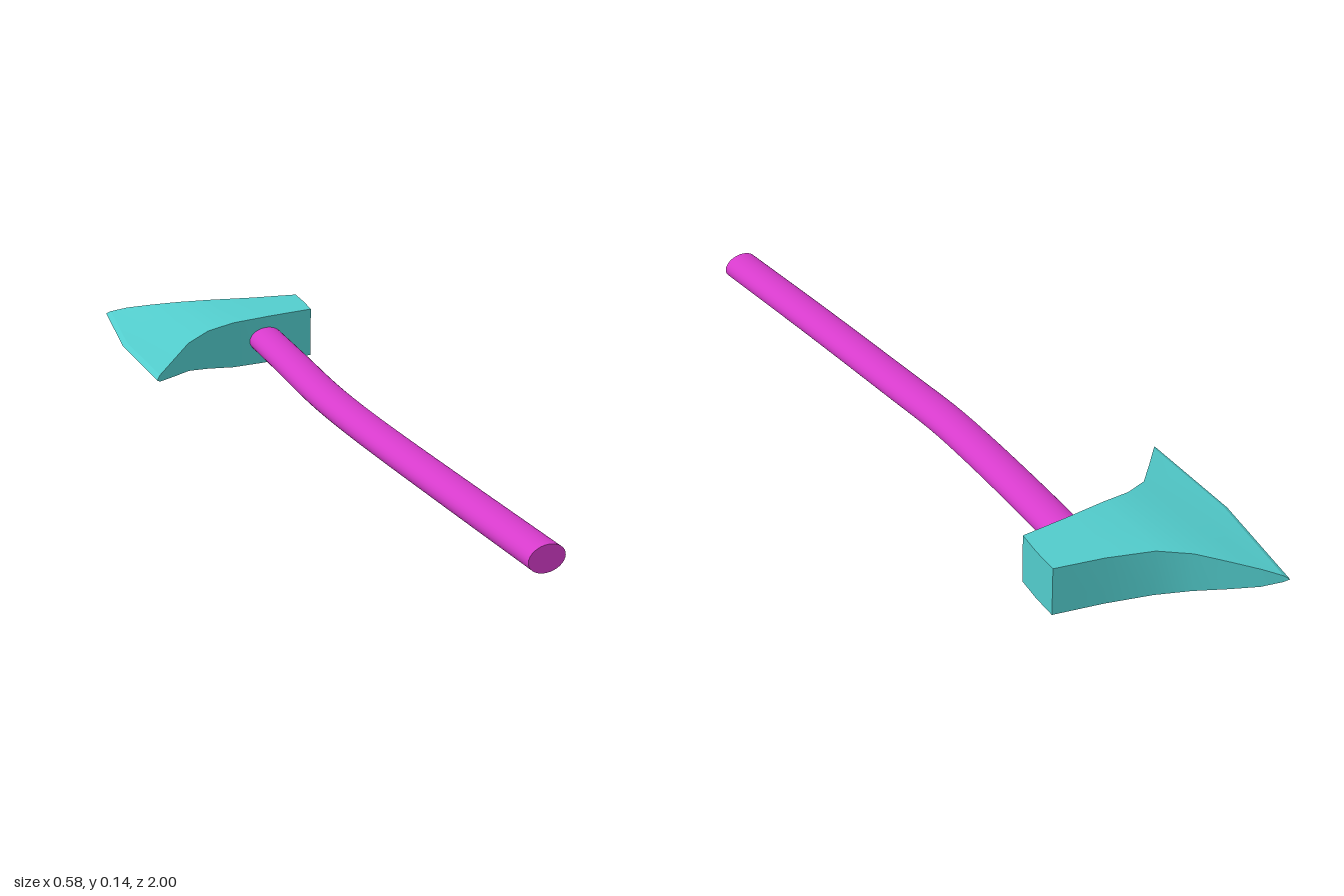
import * as THREE from 'three';
import { mergeGeometries } from 'three/addons/utils/BufferGeometryUtils.js';

// Smooth sheet through rows of points
function sheet(rows) {
  const n = rows[0].length, index = [];
  for (let i = 0; i < rows.length - 1; i++) {
    for (let j = 0; j < n - 1; j++) {
      const a = i * n + j, b = a + 1, c = a + n;
      index.push(a, b, c + 1, a, c + 1, c);
    }
  }
  const geo = new THREE.BufferGeometry();
  geo.setAttribute('position', new THREE.Float32BufferAttribute(rows.flat(2), 3));
  geo.setIndex(index);
  geo.computeVertexNormals();
  return geo;
}

// Axe head: cross-sections from the cutting edge to the butt
function headGeometry() {
  // x at back, middle and front; z at back and front; y at bottom and top
  const sections = [
    [-0.255, -0.29, -0.28, -1, -0.39, 0.067, 0.067],
    [-0.243, -0.277, -0.267, -0.99, -0.405, 0.057, 0.076],
    [-0.2, -0.2, -0.2, -0.96, -0.48, 0.039, 0.092],
    [-0.14, -0.14, -0.14, -0.915, -0.545, 0.025, 0.108],
    [-0.07, -0.07, -0.07, -0.862, -0.58, 0.011, 0.125],
    [0.01, 0.01, 0.01, -0.818, -0.593, 0.001, 0.136],
    [0.13, 0.13, 0.13, -0.783, -0.605, 0, 0.14],
    [0.26, 0.26, 0.255, -0.757, -0.614, 0.002, 0.143],
  ];
  const rings = sections.map(([xb, xm, xf, zb, zf, y0, y1]) => {
    const zm = (zb + zf) / 2;
    return [[xb, y1, zb], [xm, y1, zm], [xf, y1, zf], [xf, y0, zf], [xm, y0, zm], [xb, y0, zb]];
  });
  const pick = (rows, cols) => sheet(rows.map((r) => cols.map((c) => r[c])));
  const bevel = rings.slice(0, 2), body = rings.slice(1);
  const parts = [];
  for (const cols of [[0, 1, 2], [2, 3], [3, 4, 5], [5, 0]]) {
    parts.push(pick(bevel, cols), pick(body, cols));
  }
  // Flat butt
  const r = rings[rings.length - 1];
  parts.push(sheet([[r[5], r[0]], [r[4], r[1]], [r[3], r[2]]]));
  return mergeGeometries(parts);
}

// Handle: oval cylinder bent along a curve
function handleGeometry() {
  const path = new THREE.CatmullRomCurve3([
    [0.113, 0.071, -0.66], [0.113, 0.07, -0.4], [0.115, 0.065, -0.15], [0.122, 0.063, 0],
    [0.142, 0.058, 0.2], [0.187, 0.052, 0.6], [0.235, 0.045, 0.995],
  ].map((p) => new THREE.Vector3(...p)));
  const geo = new THREE.CylinderGeometry(1, 1, 1, 32, 32).rotateX(Math.PI / 2);
  const pos = geo.attributes.position;
  for (let i = 0; i < pos.count; i++) {
    const t = THREE.MathUtils.clamp(pos.getZ(i) + 0.5, 0, 1);
    const p = path.getPointAt(t), d = path.getTangentAt(t);
    const across = pos.getX(i) * 0.051, up = pos.getY(i) * 0.036;
    pos.setXYZ(i, p.x + d.z * across, p.y + up, p.z - d.x * across);
  }
  geo.computeVertexNormals();
  return geo;
}

export function createModel() {
  const group = new THREE.Group();
  group.name = 'axe';
  const add = (name, geo, color) => {
    const mesh = new THREE.Mesh(geo, new THREE.MeshStandardMaterial({ color }));
    mesh.name = name;
    group.add(mesh);
  };
  add('axeHead', headGeometry(), 0x52cccc);
  add('handle', handleGeometry(), 0xd63bcb);
  return group;
}
